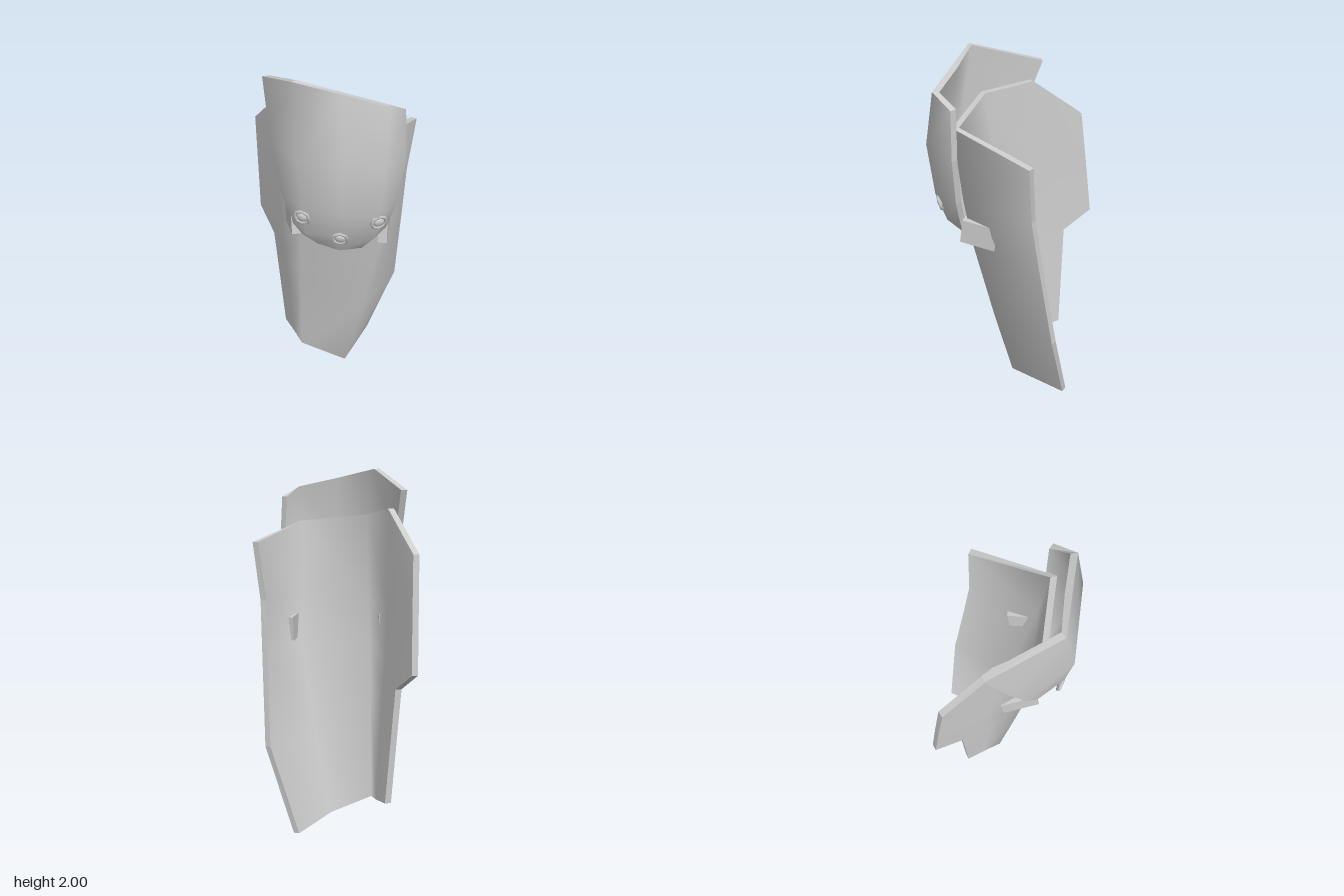
import * as THREE from 'three';
import { mergeGeometries } from 'three/addons/utils/BufferGeometryUtils.js';

const material = new THREE.MeshStandardMaterial({ color: 0xcccccc });

function makeGeometry(points, index) {
  const g = new THREE.BufferGeometry();
  g.setAttribute('position', new THREE.Float32BufferAttribute(points.flat(), 3));
  g.setIndex(index);
  return g;
}

// Thick bent plate from cross-section rows (top to bottom, each from -x to +x)
function plate(rows, thickness) {
  const nr = rows.length, nc = rows[0].length;
  const outerPts = rows.flat();
  const front = [], back = [];
  for (let i = 0; i < nr - 1; i++) {
    for (let j = 0; j < nc - 1; j++) {
      const a = i * nc + j, b = a + 1, c = a + nc, d = c + 1;
      front.push(a, c, b, b, c, d);
      back.push(a, b, c, b, d, c);
    }
  }
  const outer = makeGeometry(outerPts, front);
  outer.computeVertexNormals();
  const n = outer.attributes.normal;
  const innerPts = outerPts.map((p, k) => [
    p[0] - n.getX(k) * thickness, p[1] - n.getY(k) * thickness * 0.3, p[2] - n.getZ(k) * thickness]);
  const inner = makeGeometry(innerPts, back);
  inner.computeVertexNormals();

  // Flat rim around the boundary
  const loop = [];
  for (let j = 0; j < nc - 1; j++) loop.push(j);
  for (let i = 0; i < nr - 1; i++) loop.push(i * nc + nc - 1);
  for (let j = nc - 1; j > 0; j--) loop.push((nr - 1) * nc + j);
  for (let i = nr - 1; i > 0; i--) loop.push(i * nc);
  const rimIndex = [], total = outerPts.length;
  loop.forEach((p, k) => {
    const q = loop[(k + 1) % loop.length];
    rimIndex.push(p, q, q + total, p, q + total, p + total);
  });
  const rim = makeGeometry([...outerPts, ...innerPts], rimIndex).toNonIndexed();
  rim.computeVertexNormals();
  return mergeGeometries([outer.toNonIndexed(), inner.toNonIndexed(), rim]);
}

function add(parent, name, geometry) {
  const mesh = new THREE.Mesh(geometry, material);
  mesh.name = name;
  parent.add(mesh);
  return mesh;
}

export function createModel() {
  const group = new THREE.Group();
  group.name = 'shinGuard';

  // Shin shell: rear edge, side wall, two front ridges, rear edge
  add(group, 'shinShell', plate([
    [[-0.45, 1.55, -0.33], [-0.32, 1.78, -0.06], [-0.2, 1.74, 0.2], [0.22, 1.7, 0.28], [0.45, 1.6, -0.15]],
    [[-0.45, 1.25, -0.37], [-0.32, 1.25, -0.09], [-0.2, 1.25, 0.155], [0.23, 1.28, 0.23], [0.41, 1.28, -0.16]],
    [[-0.45, 0.92, -0.41], [-0.32, 0.95, -0.13], [-0.21, 1.0, 0.11], [0.235, 1.02, 0.185], [0.4, 1.0, -0.2]],
    [[-0.37, 0.81, -0.26], [-0.3, 0.76, -0.1], [-0.215, 0.7, 0.06], [0.145, 0.48, 0.085], [0.38, 0.48, -0.28]],
    [[-0.32, 0.15, -0.25], [-0.27, 0.135, -0.15], [-0.22, 0.12, -0.04], [0.05, 0, -0.01], [0.22, 0, -0.34]],
  ], 0.037));

  // Knee plate with rounded lower end
  add(group, 'kneePlate', plate([
    [[-0.39, 1.88, -0.11], [-0.24, 2.0, 0.27], [0, 1.95, 0.32], [0.24, 1.9, 0.37], [0.33, 1.84, 0.26]],
    [[-0.36, 1.58, 0], [-0.22, 1.6, 0.34], [0, 1.6, 0.38], [0.22, 1.6, 0.42], [0.345, 1.57, 0.26]],
    [[-0.31, 1.3, 0.1], [-0.2, 1.3, 0.31], [0, 1.3, 0.36], [0.2, 1.3, 0.39], [0.305, 1.3, 0.255]],
    [[-0.25, 1.14, 0.17], [-0.18, 1.13, 0.27], [0, 1.13, 0.32], [0.18, 1.13, 0.335], [0.25, 1.14, 0.245]],
    [[-0.2, 1.08, 0.19], [-0.12, 1.035, 0.22], [0, 1.01, 0.26], [0.12, 1.03, 0.27], [0.195, 1.08, 0.245]],
  ], 0.037));

  // Bolts: eight-sided collar with a domed centre
  const bolts = [
    [[-0.2, 1.25, 0.295], [-0.45, -0.25, 1]],
    [[0.2, 1.25, 0.367], [0.3, -0.3, 1]],
    [[0, 1.12, 0.312], [-0.15, -0.4, 1]],
  ];
  for (const [position, normal] of bolts) {
    const bolt = new THREE.Group();
    bolt.name = 'bolt';
    bolt.position.set(...position);
    bolt.quaternion.setFromUnitVectors(new THREE.Vector3(0, 0, 1), new THREE.Vector3(...normal).normalize());
    add(bolt, 'boltCollar', new THREE.TorusGeometry(0.041, 0.009, 6, 8));
    const dome = add(bolt, 'boltDome', new THREE.SphereGeometry(0.029, 12, 8));
    dome.scale.z = 0.5;
    group.add(bolt);
  }

  // Side brackets joining the knee plate to the shell
  const brackets = [
    [[0.255, 1.1, 0.14], [0.3, 1.07, -0.1]],
    [[-0.25, 1.13, 0.07], [-0.29, 1.1, -0.17]],
  ];
  for (const [position, target] of brackets) {
    const bracket = add(group, 'bracket', new THREE.BoxGeometry(0.05, 0.14, 0.2));
    bracket.position.set(...position);
    bracket.lookAt(new THREE.Vector3(...target));
  }
  return group;
}
